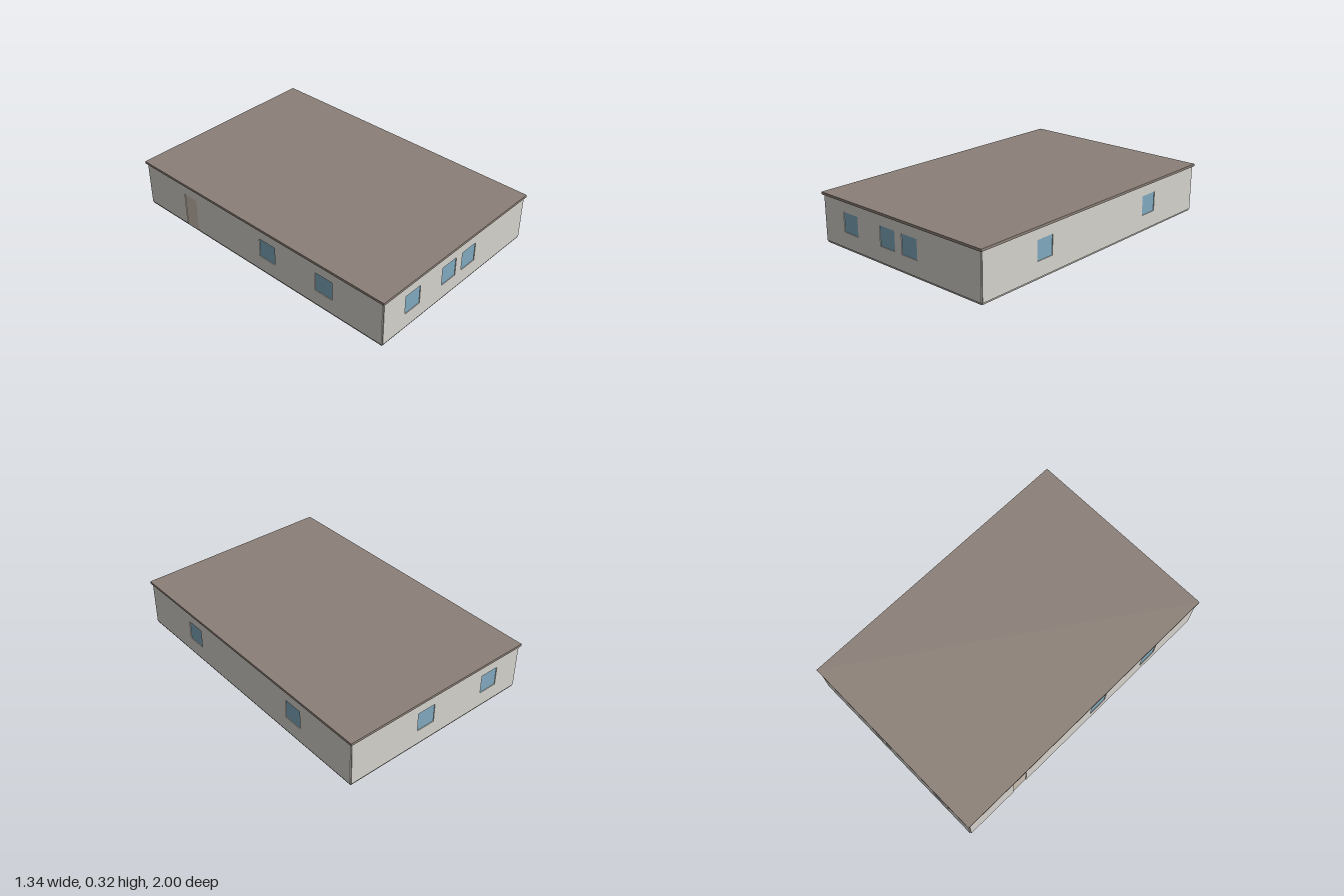
import * as THREE from 'three';

const HX = 0.6565, HZ = 0.9855;   // wall centre lines
const T = 0.0125;                 // wall thickness
const Y0 = 0.0125, Y1 = 0.307;    // wall bottom and top
const WIN = { w: 0.128, y0: 0.112, y1: 0.24 };
const DOOR = { w: 0.11, y1: 0.24 };

const mat = (color) => new THREE.MeshStandardMaterial({ color });

export function createModel() {
  const house = new THREE.Group();
  house.name = 'house';
  const wallMat = mat(0xd4d1ca), glassMat = mat(0x7fa8bd), doorMat = mat(0xcbbdb0);
  const roofMat = mat(0x8c8078), floorMat = mat(0xa29e98);

  function box(parent, name, material, w, h, d, x, y, z) {
    const mesh = new THREE.Mesh(new THREE.BoxGeometry(w, h, d), material);
    mesh.name = name;
    mesh.position.set(x, y, z);
    parent.add(mesh);
  }

  // One wall with its openings; local x runs along the wall, local z points outward
  function wall(name, half, dist, angle, windows, doors = []) {
    const group = new THREE.Group();
    group.name = name;
    const shape = new THREE.Shape();
    shape.moveTo(-half, Y0);
    for (const x of doors) {
      const a = x - DOOR.w / 2, b = x + DOOR.w / 2;
      shape.lineTo(a, Y0);
      shape.lineTo(a, DOOR.y1);
      shape.lineTo(b, DOOR.y1);
      shape.lineTo(b, Y0);
      box(group, 'door', doorMat, DOOR.w, DOOR.y1 - Y0, 0.004, x, (DOOR.y1 + Y0) / 2, dist);
    }
    shape.lineTo(half, Y0);
    shape.lineTo(half, Y1);
    shape.lineTo(-half, Y1);
    shape.closePath();

    const h = WIN.y1 - WIN.y0;
    for (const x of windows) {
      const a = x - WIN.w / 2, b = x + WIN.w / 2;
      const hole = new THREE.Path();
      hole.moveTo(a, WIN.y0);
      hole.lineTo(a, WIN.y1);
      hole.lineTo(b, WIN.y1);
      hole.lineTo(b, WIN.y0);
      hole.closePath();
      shape.holes.push(hole);
      // Two panes side by side, set back in the opening
      for (const s of [-1, 1]) {
        box(group, 'windowPane', glassMat, WIN.w / 2, h, 0.004,
          x + s * WIN.w / 4, WIN.y0 + h / 2, dist);
      }
    }
    const geo = new THREE.ExtrudeGeometry(shape, { depth: T, bevelEnabled: false });
    geo.translate(0, 0, dist - T / 2);
    const panel = new THREE.Mesh(geo, wallMat);
    panel.name = name + 'Panel';
    group.add(panel);
    group.rotation.y = angle;
    house.add(group);
  }

  wall('frontWall', HX, HZ, 0, [-0.411, -0.083, 0.103]);
  wall('backWall', HX, HZ, Math.PI, [-0.104, 0.411]);
  wall('leftWall', HZ, HX, Math.PI / 2, [-0.493, 0.493]);
  wall('rightWall', HZ, HX, -Math.PI / 2, [0.108, 0.558], [-0.574]);

  // Floor slab and flat roof with a small overhang
  box(house, 'floor', floorMat, HX * 2, Y0, HZ * 2, 0, Y0 / 2, 0);
  box(house, 'roof', roofMat, 1.342, 0.016, 2, 0, Y1 + 0.008, 0);
  return house;
}
